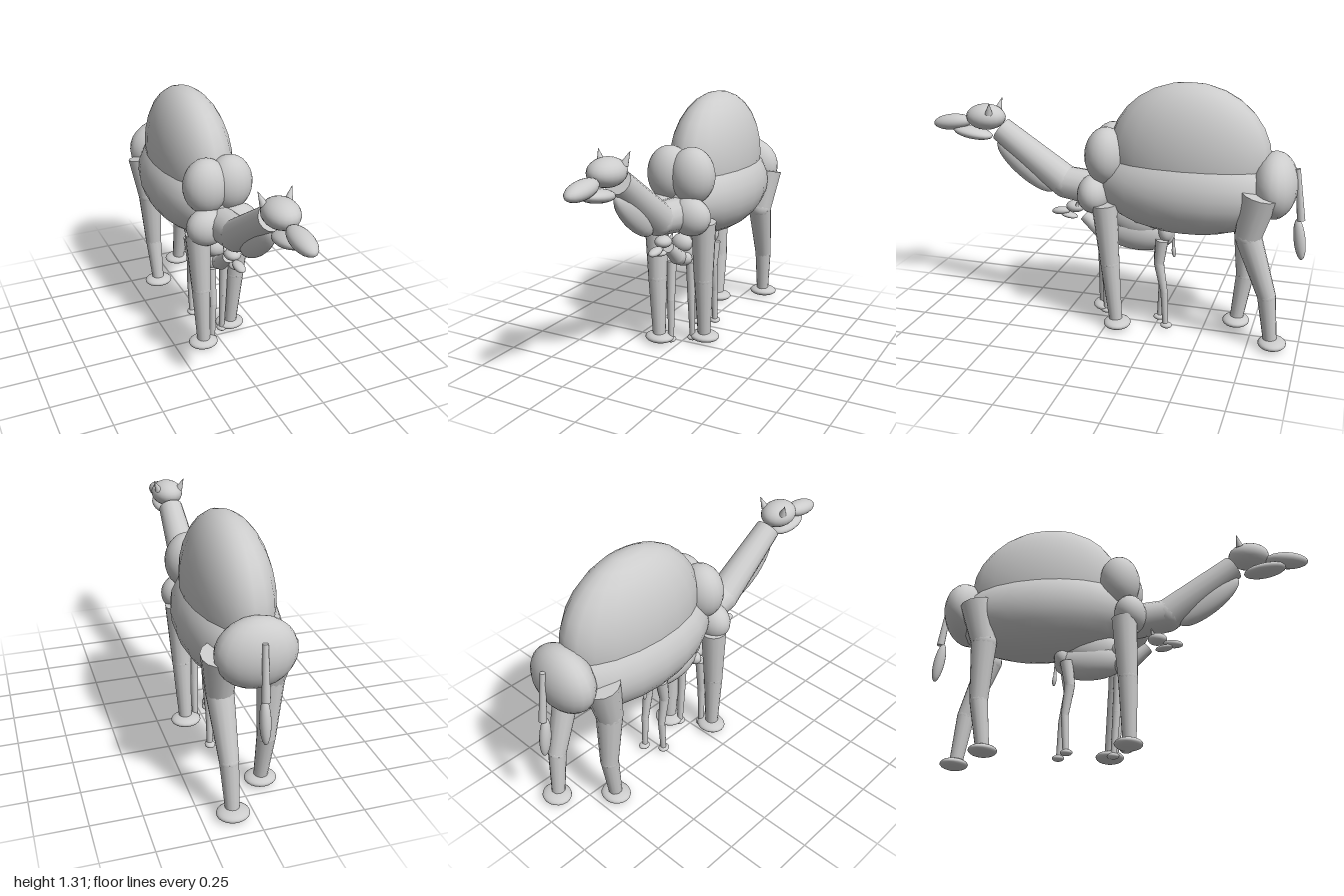
import * as THREE from 'three';

const hide = new THREE.MeshStandardMaterial({ color: 0xcccccc });
hide.name = 'pale grey hide';

const unitBall = new THREE.SphereGeometry(1, 20, 14);

// Ellipsoid: centre, radii, tilt about x
function ball(parent, name, pos, radii, tilt = 0) {
  const mesh = new THREE.Mesh(unitBall, hide);
  mesh.name = name;
  mesh.position.set(...pos);
  mesh.scale.set(...radii);
  mesh.rotation.x = tilt;
  parent.add(mesh);
}

// Two overlapping ellipsoids mirrored across x = 0
function ballPair(parent, name, [x, y, z], radii) {
  for (const s of [-1, 1]) ball(parent, name, [s * x, y, z], radii);
}

// Tapered cylinder from a to b
function bone(parent, name, a, b, ra, rb) {
  const from = new THREE.Vector3(...a), to = new THREE.Vector3(...b);
  const dir = to.clone().sub(from);
  const mesh = new THREE.Mesh(new THREE.CylinderGeometry(rb, ra, dir.length(), 14), hide);
  mesh.name = name;
  mesh.position.copy(from).add(to).multiplyScalar(0.5);
  mesh.quaternion.setFromUnitVectors(new THREE.Vector3(0, 1, 0), dir.normalize());
  parent.add(mesh);
}

// Chain of tapered cylinders with round joints; each point is [x, y, z, radius]
function limb(parent, name, pts) {
  const group = new THREE.Group();
  group.name = name;
  for (let i = 0; i < pts.length - 1; i++) {
    const [p, q] = [pts[i], pts[i + 1]];
    bone(group, name + 'Segment', p.slice(0, 3), q.slice(0, 3), p[3], q[3]);
    if (i > 0) ball(group, name + 'Joint', p.slice(0, 3), [p[3], p[3], p[3]]);
  }
  parent.add(group);
}

// Pair of pointed ears
function ears(parent, base, tip, r) {
  for (const s of [-1, 1]) {
    bone(parent, 'ear', [s * base[0], base[1], base[2]], [s * tip[0], tip[1], tip[2]], r, 0.001);
  }
}

function buildAdult() {
  const g = new THREE.Group();
  g.name = 'adult';

  // Trunk
  ball(g, 'body', [0, 0.78, -0.4], [0.24, 0.238, 0.48]);
  ball(g, 'hump', [0, 0.945, -0.4], [0.2, 0.365, 0.41]);
  ballPair(g, 'shoulder', [0.065, 0.928, 0.012], [0.121, 0.146, 0.107]);
  ballPair(g, 'chest', [0.085, 0.728, 0.07], [0.109, 0.1, 0.083]);
  ball(g, 'rump', [0, 0.828, -0.83], [0.19, 0.167, 0.114]);

  // Neck and throat mane
  limb(g, 'neck', [[0, 0.725, 0.05, 0.092], [0, 0.75, 0.25, 0.085], [0, 1.01, 0.61, 0.065]]);
  ball(g, 'throatMane', [0, 0.82, 0.475], [0.046, 0.066, 0.2], -0.67);

  // Head
  ball(g, 'head', [0, 1.07, 0.695], [0.086, 0.068, 0.107]);
  ball(g, 'muzzle', [0, 1.03, 0.89], [0.053, 0.042, 0.111], 0.12);
  ball(g, 'lowerJaw', [0, 0.98, 0.775], [0.064, 0.032, 0.112], -0.15);
  ears(g, [0.06, 1.1, 0.65], [0.083, 1.16, 0.635], 0.02);

  // Tail
  limb(g, 'tail', [[0, 0.92, -0.935, 0.013], [0, 0.66, -0.968, 0.02]]);
  ball(g, 'tailTuft', [0, 0.56, -0.967], [0.026, 0.108, 0.029], 0.15);

  // Legs, each pair in mid stride
  limb(g, 'leftFrontLeg', [[0.125, 0.69, 0, 0.066], [0.115, 0.37, -0.025, 0.05], [0.105, 0.04, -0.055, 0.034]]);
  limb(g, 'rightFrontLeg', [[-0.125, 0.69, 0.045, 0.066], [-0.115, 0.37, 0.06, 0.05], [-0.105, 0.04, 0.065, 0.034]]);
  limb(g, 'leftHindLeg', [[0.142, 0.815, -0.778, 0.09], [0.13, 0.6, -0.73, 0.066],
    [0.115, 0.29, -0.835, 0.046], [0.105, 0.04, -0.865, 0.034]]);
  limb(g, 'rightHindLeg', [[-0.142, 0.815, -0.73, 0.09], [-0.13, 0.6, -0.685, 0.066],
    [-0.115, 0.29, -0.695, 0.046], [-0.105, 0.04, -0.662, 0.034]]);
  for (const [x, z] of [[0.105, -0.063], [-0.105, 0.06], [0.105, -0.875], [-0.105, -0.66]]) {
    ball(g, 'foot', [x, 0.031, z], [0.08, 0.028, 0.071]);
  }
  return g;
}

function buildCalf() {
  const g = new THREE.Group();
  g.name = 'calf';

  // Trunk
  ball(g, 'calfBody', [0, 0.51, -0.15], [0.07, 0.095, 0.19]);
  ball(g, 'calfHump', [0, 0.58, -0.15], [0.07, 0.1, 0.15]);
  ball(g, 'calfShoulders', [0, 0.56, 0.0], [0.058, 0.05, 0.045]);
  ball(g, 'calfChest', [0, 0.48, 0.01], [0.063, 0.042, 0.037]);
  ball(g, 'calfRump', [0, 0.54, -0.295], [0.068, 0.065, 0.045]);

  // Neck and head
  limb(g, 'calfNeck', [[0, 0.485, 0.02, 0.042], [0, 0.5, 0.06, 0.04], [0, 0.575, 0.15, 0.03]]);
  ball(g, 'calfHead', [0, 0.62, 0.2], [0.044, 0.031, 0.05]);
  ball(g, 'calfMuzzle', [0, 0.588, 0.28], [0.028, 0.02, 0.052], 0.12);
  ball(g, 'calfLowerJaw', [0, 0.568, 0.235], [0.03, 0.015, 0.047], -0.15);
  ears(g, [0.03, 0.635, 0.18], [0.04, 0.665, 0.173], 0.01);

  // Tail
  limb(g, 'calfTail', [[0, 0.56, -0.33, 0.006], [0, 0.45, -0.335, 0.008]]);
  ball(g, 'calfTailTuft', [0, 0.425, -0.337], [0.011, 0.033, 0.011], 0.1);

  // Legs
  limb(g, 'calfLeftFrontLeg', [[0.045, 0.46, -0.01, 0.025], [0.045, 0.25, -0.02, 0.021], [0.045, 0.02, -0.035, 0.015]]);
  limb(g, 'calfRightFrontLeg', [[-0.045, 0.46, 0.03, 0.025], [-0.043, 0.25, 0.045, 0.021], [-0.045, 0.02, 0.042, 0.015]]);
  limb(g, 'calfLeftHindLeg', [[0.05, 0.5, -0.285, 0.033], [0.048, 0.37, -0.27, 0.026],
    [0.046, 0.21, -0.3, 0.019], [0.045, 0.02, -0.31, 0.015]]);
  limb(g, 'calfRightHindLeg', [[-0.05, 0.5, -0.265, 0.033], [-0.048, 0.37, -0.245, 0.026],
    [-0.046, 0.21, -0.268, 0.019], [-0.045, 0.02, -0.258, 0.015]]);
  for (const [x, z] of [[0.045, -0.037], [-0.045, 0.042], [0.045, -0.315], [-0.045, -0.255]]) {
    ball(g, 'calfFoot', [x, 0.021, z], [0.027, 0.016, 0.031]);
  }
  return g;
}

export function createModel() {
  const model = new THREE.Group();
  model.name = 'camelWithCalf';
  model.add(buildAdult(), buildCalf());
  return model;
}
